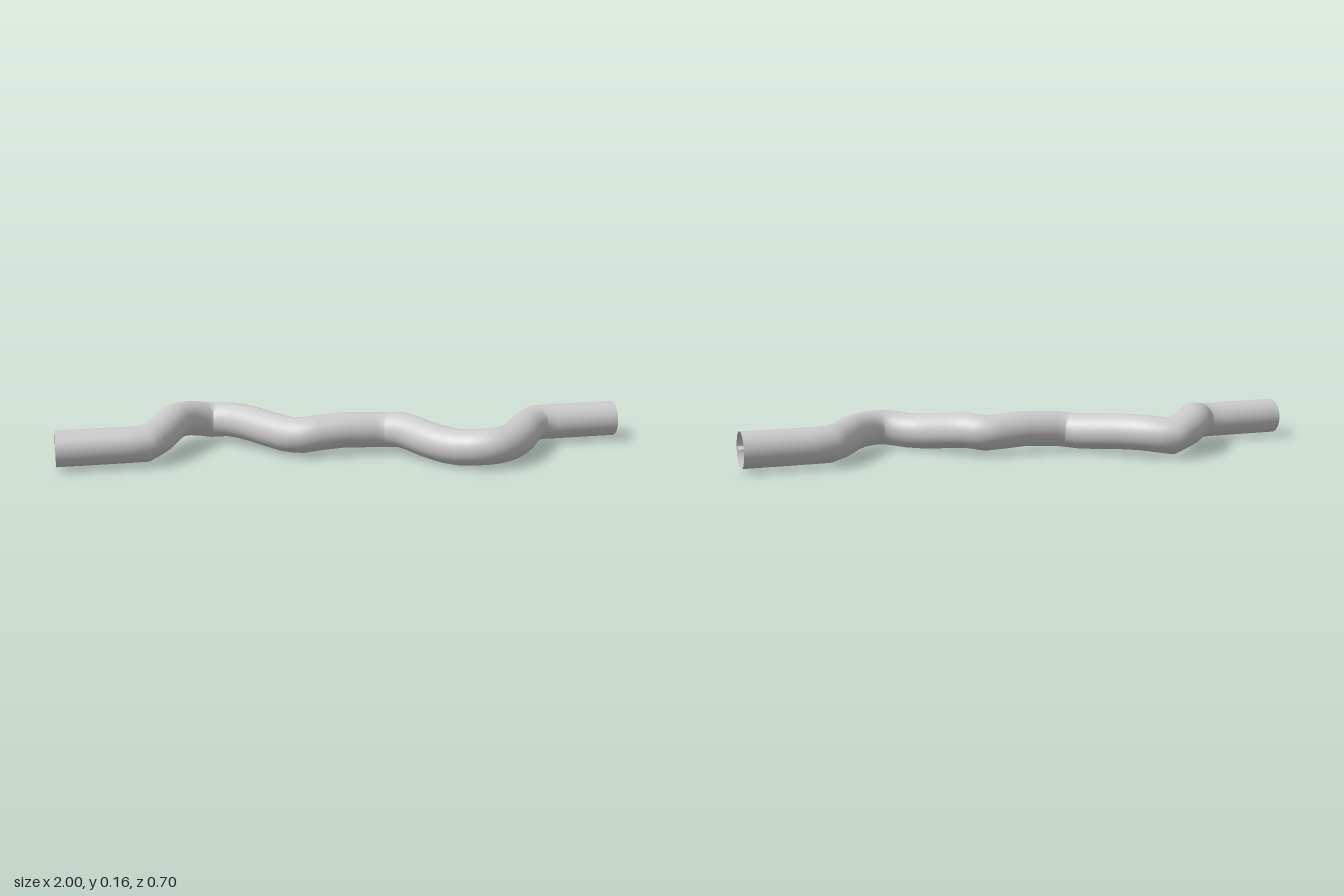
import * as THREE from 'three';

const RADIUS = 0.062;
const V = (x, y, z) => new THREE.Vector3(x, y, z);

// Smooth run of centre-line points through one bend
function bend(points, steps) {
  const curve = new THREE.CatmullRomCurve3(points.map((p) => V(...p)), false, 'centripetal');
  return curve.getPoints(steps);
}

function centreLine() {
  const backBend = [
    [[-0.7, 0.075, 0], [-0.645, 0.088, -0.055], [-0.575, 0.105, -0.18], [-0.51, 0.096, -0.25], [-0.43, 0.076, -0.287]],
    [[-0.43, 0.076, -0.287], [-0.37, 0.084, -0.25], [-0.3, 0.083, -0.17], [-0.2, 0.071, -0.045], [-0.15, 0.075, 0]],
  ];
  const frontBend = [
    [0.145, 0.079, 0], [0.2, 0.085, 0.045], [0.27, 0.071, 0.15], [0.34, 0.064, 0.23], [0.43, 0.074, 0.285],
    [0.5, 0.075, 0.267], [0.575, 0.075, 0.19], [0.645, 0.075, 0.075], [0.71, 0.075, 0],
  ];
  return [
    V(-1, 0.075, 0), V(-0.76, 0.075, 0),
    ...bend(backBend[0], 8), ...bend(backBend[1], 8).slice(1),
    V(-0.1, 0.08, 0), V(0, 0.086, 0), V(0.1, 0.081, 0),
    ...bend(frontBend, 18),
    V(0.77, 0.075, 0), V(1, 0.075, 0),
  ];
}

// Sweep a closed profile along the path with mitred joints; twist(x) turns it
function sweep(path, profile, twist) {
  const position = [], index = [];
  const count = profile.length;
  const up = V(0, 1, 0);
  path.forEach((p, i) => {
    const before = p.clone().sub(path[Math.max(i - 1, 0)]).normalize();
    const after = path[Math.min(i + 1, path.length - 1)].clone().sub(p).normalize();
    const t = before.clone().add(after).normalize();
    const cosHalf = i === 0 || i === path.length - 1 ? 1 : t.dot(after);
    const side = up.clone().cross(t).normalize();
    const lift = t.clone().cross(side);
    const a = twist(p.x);
    for (const [u, v] of profile) {
      const s = (u * Math.cos(a) - v * Math.sin(a)) / cosHalf;
      const l = u * Math.sin(a) + v * Math.cos(a);
      const q = p.clone().addScaledVector(side, s).addScaledVector(lift, l);
      position.push(q.x, q.y, q.z);
    }
    if (i === 0) return;
    for (let j = 0; j < count; j++) {
      const k = (j + 1) % count;
      const a0 = (i - 1) * count + j, b0 = (i - 1) * count + k;
      const a1 = i * count + j, b1 = i * count + k;
      index.push(a0, b0, a1, b0, b1, a1);
    }
  });
  const geometry = new THREE.BufferGeometry();
  geometry.setAttribute('position', new THREE.Float32BufferAttribute(position, 3));
  geometry.setIndex(index);
  geometry.computeVertexNormals();
  return geometry;
}

export function createModel() {
  const group = new THREE.Group();
  group.name = 'bentPipe';
  const material = new THREE.MeshStandardMaterial({ color: 0xcccccc, side: THREE.DoubleSide });
  const path = centreLine();

  // Open-ended round wall
  const circle = Array.from({ length: 48 }, (_, i) => {
    const a = (i / 48) * Math.PI * 2;
    return [RADIUS * Math.cos(a), RADIUS * Math.sin(a)];
  });
  const wall = new THREE.Mesh(sweep(path, circle, () => 0), material);
  wall.name = 'pipeWall';

  // Thin inner fin from the wall to the axis, half a turn from end to end
  const h = 0.003;
  const strip = [[0, -h], [RADIUS - 0.001, -h], [RADIUS - 0.001, h], [0, h]];
  const halfTurn = (x) => Math.PI * THREE.MathUtils.smoothstep(x, -0.7, 0.7);
  const fin = new THREE.Mesh(sweep(path, strip, halfTurn), material);
  fin.name = 'innerFin';

  group.add(wall, fin);
  return group;
}
